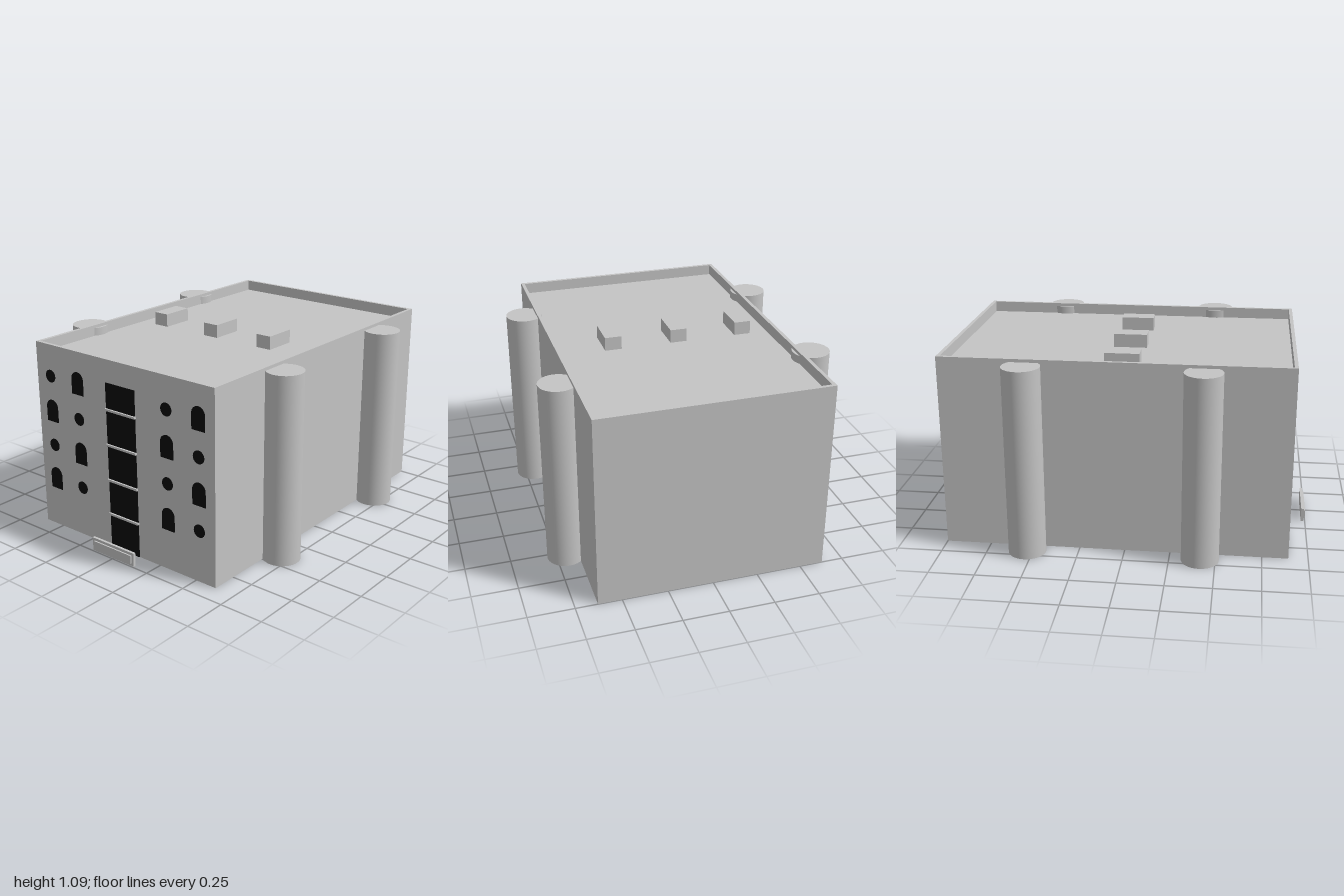
import * as THREE from 'three';

export function createModel() {
  const model = new THREE.Group();
  const stone = new THREE.MeshStandardMaterial({ color: 0xc4c4c4 });
  stone.name = 'grey stone';
  const dark = new THREE.MeshStandardMaterial({ color: 0x0a0a0a });
  dark.name = 'black opening';

  const W = 0.63, BACK = -1, FRONT = 0.893, ROOF = 1.015, TOP = 1.077;
  const midZ = (BACK + FRONT) / 2;

  const add = (name, geometry, material, x = 0, y = 0, z = 0) => {
    const mesh = new THREE.Mesh(geometry, material);
    mesh.name = name;
    mesh.position.set(x, y, z);
    model.add(mesh);
    return mesh;
  };
  // Box given by its lower and upper corners
  const box = (name, material, [x0, y0, z0], [x1, y1, z1]) =>
    add(name, new THREE.BoxGeometry(x1 - x0, y1 - y0, z1 - z0), material,
      (x0 + x1) / 2, (y0 + y1) / 2, (z0 + z1) / 2);
  const rectangle = (target, hw, hd) => target
    .moveTo(-hw, -hd).lineTo(hw, -hd).lineTo(hw, hd).lineTo(-hw, hd).closePath();

  // Main block and the low wall around its flat roof
  box('mainBlock', stone, [-W, 0, BACK], [W, ROOF, FRONT]);
  const rim = rectangle(new THREE.Shape(), W, (FRONT - BACK) / 2);
  rim.holes.push(rectangle(new THREE.Path(), W - 0.02, (FRONT - BACK) / 2 - 0.02));
  const parapet = new THREE.ExtrudeGeometry(rim, { depth: TOP - ROOF, bevelEnabled: false });
  parapet.rotateX(-Math.PI / 2);
  add('parapet', parapet, stone, 0, ROOF, midZ);

  // Roof units
  for (const x of [-0.46, -0.08, 0.297]) {
    box('roofUnit', stone, [x - 0.047, ROOF, -0.12], [x + 0.047, 1.09, 0.067]);
  }

  // Round side towers
  const tower = new THREE.CylinderGeometry(0.103, 0.103, 1.06, 48);
  for (const x of [-0.697, 0.697]) {
    for (const z of [-0.53, 0.417]) add('sideTower', tower, stone, x, 0.53, z);
  }

  // Tall central glazing with floor ledges
  box('centralGlazing', dark, [-0.104, 0, FRONT], [0.102, 0.95, FRONT + 0.004]);
  for (const y of [0.2, 0.4, 0.603, 0.803]) {
    box('floorLedge', stone, [-0.107, y - 0.006, FRONT], [0.106, y + 0.006, FRONT + 0.014]);
  }

  // Alternating round and arched windows
  const plate = { depth: 0.003, bevelEnabled: false, curveSegments: 16 };
  const round = new THREE.Shape().absarc(0, 0, 0.036, 0, Math.PI * 2, false);
  const arch = new THREE.Shape().moveTo(-0.043, -0.062).lineTo(0.043, -0.062)
    .lineTo(0.043, 0.022).absarc(0, 0.022, 0.043, 0, Math.PI, false).closePath();
  const roundWindow = new THREE.ExtrudeGeometry(round, plate);
  const archWindow = new THREE.ExtrudeGeometry(arch, plate);
  [-0.526, -0.316, 0.316, 0.526].forEach((x, col) => {
    for (let row = 0; row < 4; row++) {
      const y = 0.897 - row * 0.202;
      if ((row + col) % 2 === 0) add('roundWindow', roundWindow, dark, x, y, FRONT);
      else add('archWindow', archWindow, dark, x, y, FRONT);
    }
  });

  // Low free-standing slab before the entrance
  box('entranceSlab', stone, [-0.153, 0, 0.977], [0.15, 0.077, 0.992]);
  box('slabFace', stone, [-0.138, 0.015, 0.992], [0.135, 0.062, 1]);

  return model;
}
